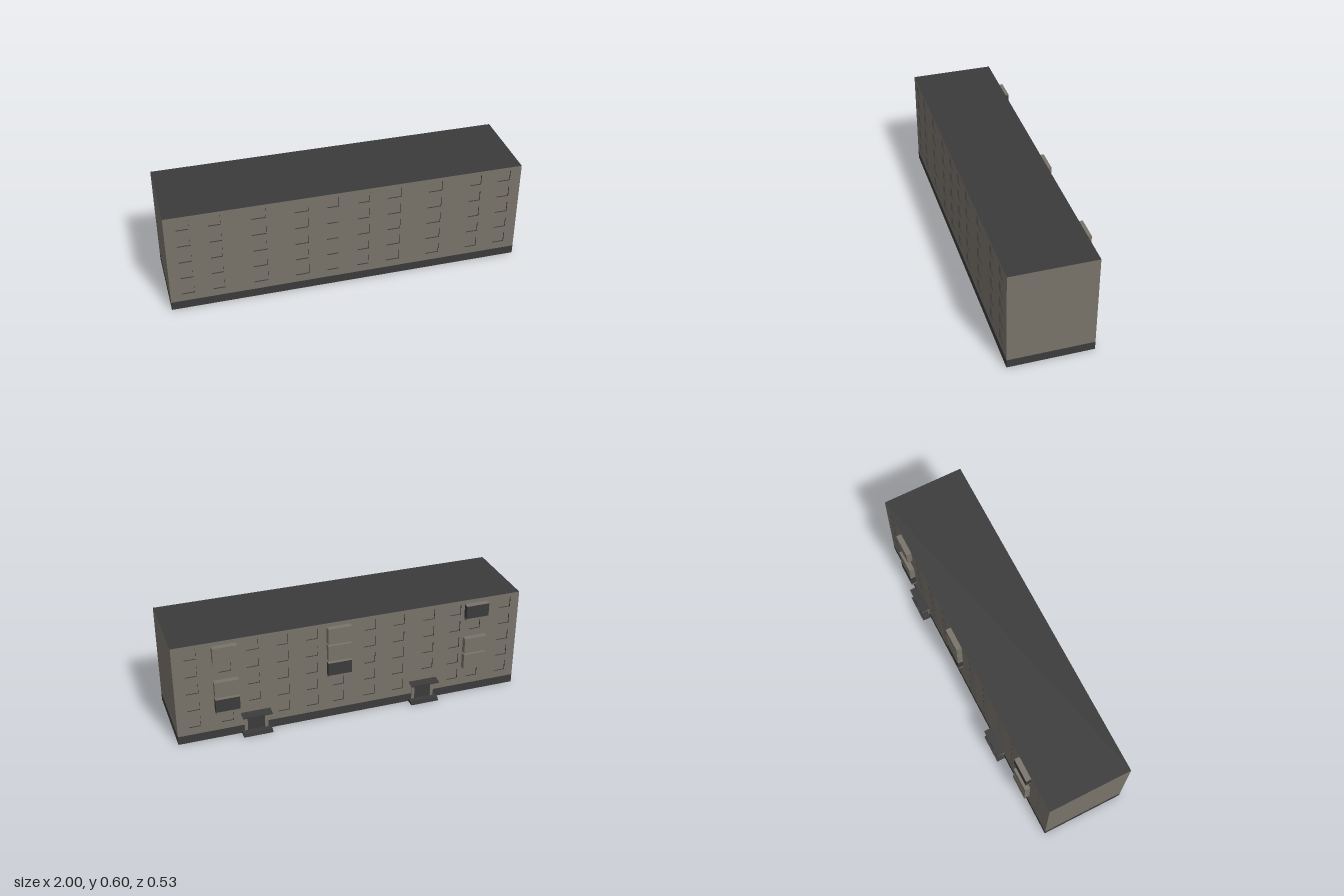
import * as THREE from 'three';

const wallMat = new THREE.MeshStandardMaterial({ color: 0x78736a, side: THREE.DoubleSide, flatShading: true });
wallMat.name = 'taupe wall';
const darkMat = new THREE.MeshStandardMaterial({ color: 0x3b3b3b, side: THREE.DoubleSide, flatShading: true });
darkMat.name = 'charcoal trim';

const FRONT = 0.265, BACK = -0.215, BASE = 0.05, TOP = 0.6;
const DEPTH = FRONT - BACK, MID = (FRONT + BACK) / 2;
const STOREY = 0.105, SILL = 0.095, WIN_H = 0.062, NICHE = 0.008;

function add(parent, name, geometry, material, x = 0, y = 0, z = 0) {
  const mesh = new THREE.Mesh(geometry, material);
  mesh.name = name;
  mesh.position.set(x, y, z);
  parent.add(mesh);
  return mesh;
}

// box given by its bounds
function block(parent, name, material, x0, x1, y0, y1, z0, z1) {
  return add(parent, name, new THREE.BoxGeometry(x1 - x0, y1 - y0, z1 - z0), material,
    (x0 + x1) / 2, (y0 + y1) / 2, (z0 + z1) / 2);
}

// long wall facing local +z with shallow window niches
function longWall(name, windows) {
  const group = new THREE.Group();
  group.name = name;
  const shape = new THREE.Shape();
  shape.moveTo(-1, BASE).lineTo(1, BASE).lineTo(1, TOP).lineTo(-1, TOP).closePath();
  const reveal = new THREE.CylinderGeometry(Math.SQRT1_2, Math.SQRT1_2, 1, 4, 1, true, Math.PI / 4);
  reveal.rotateX(Math.PI / 2);
  for (const { x, w, row } of windows) {
    const y = SILL + row * STOREY, l = x - w / 2, r = x + w / 2;
    const hole = new THREE.Path();
    hole.moveTo(l, y).lineTo(l, y + WIN_H).lineTo(r, y + WIN_H).lineTo(r, y).closePath();
    shape.holes.push(hole);
    add(group, 'windowPane', new THREE.PlaneGeometry(w, WIN_H), wallMat, x, y + WIN_H / 2, -NICHE);
    add(group, 'windowReveal', reveal, darkMat, x, y + WIN_H / 2, -NICHE / 2).scale.set(w, WIN_H, NICHE);
  }
  add(group, 'wallPanel', new THREE.ShapeGeometry(shape), wallMat);
  return group;
}

// projecting bay, with a dark or plain body
function balcony(parent, x, level, dark) {
  const y = 0.168 + (level - 1) * STOREY, h = 0.094, w = 0.0675;
  const out = BACK - 0.031;
  const group = new THREE.Group();
  group.name = 'balcony';
  if (dark) {
    block(group, 'balconyFloor', wallMat, x - w, x + w, y, y + 0.014, out, BACK);
    block(group, 'balconyBody', darkMat, x - w, x + w, y + 0.014, y + h - 0.003, out, BACK);
    block(group, 'balconyCap', wallMat, x - w, x + w, y + h - 0.003, y + h, out, BACK);
  } else {
    block(group, 'balconyBody', wallMat, x - w, x + w, y, y + h, out, BACK);
  }
  parent.add(group);
}

// doorway with posts, sloping canopy and two steps
function entrance(parent, x) {
  const group = new THREE.Group();
  group.name = 'entrance';
  const w = 0.083;
  block(group, 'lowerStep', darkMat, x - w, x + w, 0, 0.008, -0.265, BACK);
  block(group, 'upperStep', darkMat, x - w, x + w, 0.008, 0.016, -0.255, BACK);
  block(group, 'door', darkMat, x - 0.05, x + 0.05, 0.016, 0.12, BACK - 0.003, BACK);
  for (const s of [-1, 1]) {
    const px = x + s * 0.058;
    block(group, 'doorPost', wallMat, px - 0.009, px + 0.009, 0.016, 0.12, BACK - 0.006, BACK);
  }
  const canopy = block(group, 'canopy', darkMat, x - w, x + w, 0.12, 0.131, -0.265, BACK);
  const p = canopy.geometry.attributes.position;
  for (let i = 0; i < p.count; i++) {
    if (p.getY(i) > 0 && p.getZ(i) < 0) p.setY(i, 0.001); // lower outer edge
  }
  // light cheeks on the canopy ends
  canopy.material = [wallMat, wallMat, darkMat, darkMat, darkMat, darkMat];
  parent.add(group);
}

export function createModel() {
  const model = new THREE.Group();
  model.name = 'apartmentBlock';

  // front wall: mirrored columns over five storeys
  const frontWindows = [];
  for (const [x, w] of [[0.902, 0.07], [0.732, 0.066], [0.496, 0.08], [0.262, 0.076], [0.088, 0.066]])
    for (const s of [-1, 1])
      for (let row = 0; row < 5; row++) frontWindows.push({ x: s * x, w, row });
  const front = longWall('frontWall', frontWindows);
  front.position.z = FRONT;
  model.add(front);

  // back wall: bays [x, levels, dark level] and entrances replace some windows
  const bays = [[0.72, [1, 2, 4], 1], [0.083, [2, 3, 4], 2], [-0.733, [1, 2, 4], 4]];
  const doors = [0.5625, -0.425];
  const backWindows = [];
  for (const x of [0.902, 0.565, 0.4, 0.235, -0.1, -0.27, -0.45, -0.61, -0.915])
    for (let row = 0; row < 5; row++) {
      if (row === 0 && doors.some(d => Math.abs(d - x) < 0.1)) continue;
      backWindows.push({ x: -x, w: 0.066, row });
    }
  for (const [x, levels, darkLevel] of bays)
    for (let row = 0; row < 5; row++) {
      if (levels.includes(row)) balcony(model, x, row, row === darkLevel);
      else backWindows.push({ x: -x, w: 0.066, row });
    }
  const back = longWall('backWall', backWindows);
  back.rotation.y = Math.PI;
  back.position.z = BACK;
  model.add(back);
  doors.forEach(x => entrance(model, x));

  // plain end walls
  for (const s of [-1, 1]) {
    const end = add(model, 'endWall', new THREE.PlaneGeometry(DEPTH, TOP - BASE), wallMat, s, (TOP + BASE) / 2, MID);
    end.rotation.y = s * Math.PI / 2;
  }

  // dark plinth, open underneath
  for (const s of [-1, 1]) {
    const end = add(model, 'plinthEnd', new THREE.PlaneGeometry(DEPTH, BASE), darkMat, s, BASE / 2, MID);
    end.rotation.y = s * Math.PI / 2;
    const side = add(model, 'plinthSide', new THREE.PlaneGeometry(2, BASE), darkMat, 0, BASE / 2, s > 0 ? FRONT : BACK);
    if (s < 0) side.rotation.y = Math.PI;
  }

  // flat roof
  const roof = add(model, 'roof', new THREE.PlaneGeometry(2, DEPTH), darkMat, 0, TOP, MID);
  roof.rotation.x = -Math.PI / 2;
  return model;
}
